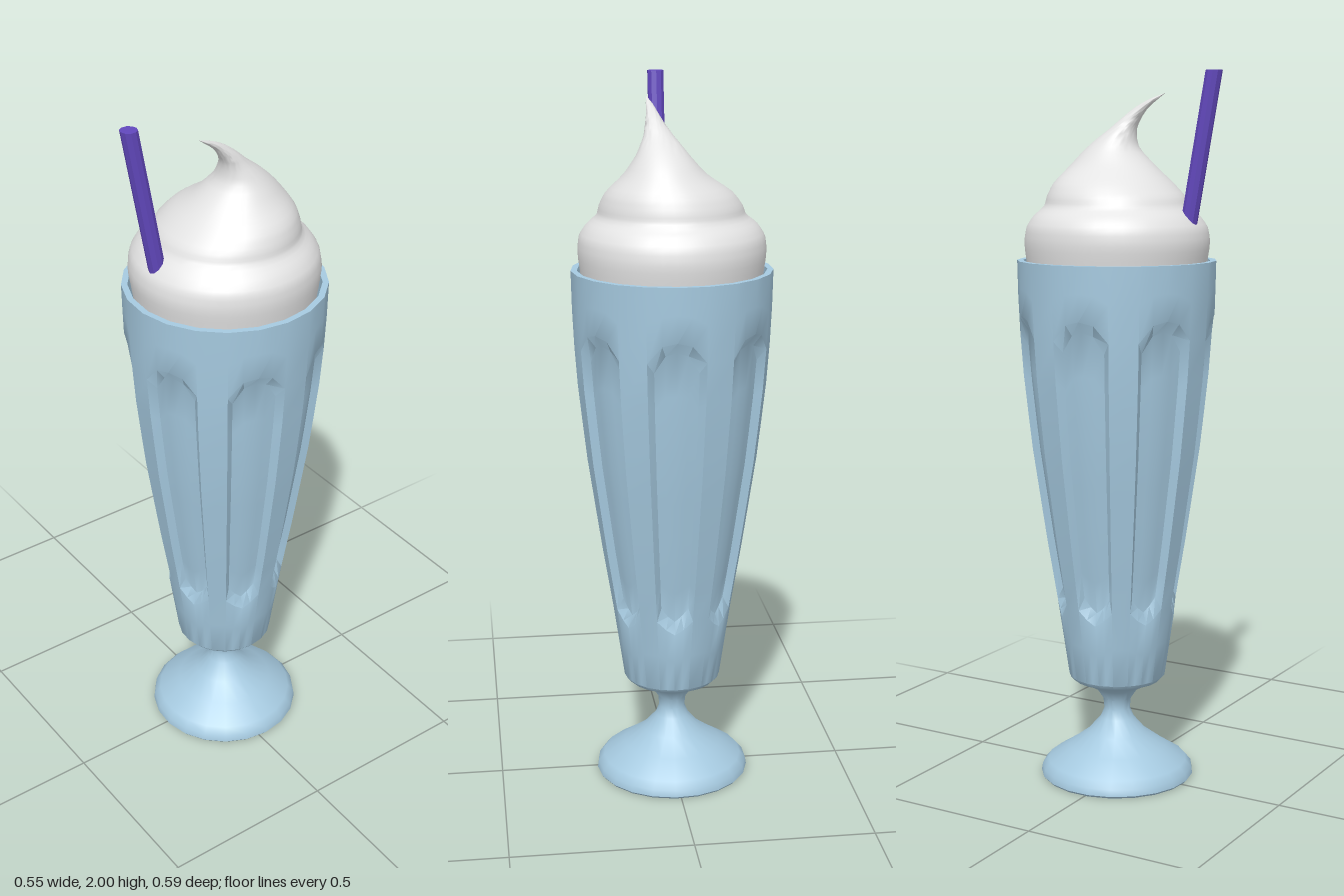
import * as THREE from 'three';
import { mergeGeometries, toCreasedNormals } from 'three/addons/utils/BufferGeometryUtils.js';

const CZ = -0.021;                 // glass axis
const PANELS = 7, SIDES = PANELS * 3;
const STEP = (Math.PI * 2) / SIDES;
const OFFSET = 0.375;              // azimuth of the first panel centre
const { lerp } = THREE.MathUtils;

// Grid of points [row][column], rows going up and columns going right
function gridGeometry(grids) {
  const pos = [];
  for (const g of grids) {
    for (let i = 0; i < g.length - 1; i++) {
      for (let j = 0; j < g[i].length - 1; j++) {
        const a = g[i][j], b = g[i][j + 1], c = g[i + 1][j + 1], d = g[i + 1][j];
        pos.push(...a, ...b, ...c, ...a, ...c, ...d);
      }
    }
  }
  const geo = new THREE.BufferGeometry();
  geo.setAttribute('position', new THREE.Float32BufferAttribute(pos, 3));
  return geo;
}

function lathe(points) {
  const geo = new THREE.LatheGeometry(points.map(p => new THREE.Vector2(...p)), SIDES, OFFSET).toNonIndexed();
  geo.deleteAttribute('uv');
  geo.deleteAttribute('normal');
  return geo;
}

// Outer bowl profile: [height, radius]
const BOWL = [[0.3, 0.138], [0.5, 0.167], [0.7, 0.2], [0.97, 0.24], [1.2, 0.265], [1.35, 0.274], [1.49, 0.277]];
function bowlRadius(y) {
  let i = 0;
  while (i < BOWL.length - 2 && y > BOWL[i + 1][0]) i++;
  const [y0, r0] = BOWL[i], [y1, r1] = BOWL[i + 1];
  return lerp(r0, r1, (y - y0) / (y1 - y0));
}

// Fluted bowl: seven sunken panels with chamfered edges, ribs between them
function bowlGeometry() {
  const grids = [];
  const cols = [-1, -0.5, 0, 0.5, 1];
  const levels = [0, 0.11, 0.22, 0.33, 0.45, 0.57, 0.7, 0.85, 1];
  const top = u => [1.342, 1.332, 1.285][Math.min(2, Math.round(Math.abs(u) * 2))];
  const bottom = u => [0.48, 0.495, 0.52][Math.min(2, Math.round(Math.abs(u) * 2))];
  for (let p = 0; p < PANELS; p++) {
    const point = (u, y, depth = 0) => {
      const k = Math.floor(u), f = u - k, r = bowlRadius(y) - depth;
      const a = OFFSET + (p * 3 + k) * STEP, b = a + STEP;
      return [r * lerp(Math.sin(a), Math.sin(b), f), y, r * lerp(Math.cos(a), Math.cos(b), f)];
    };
    const edge = (u, v) => point(u, lerp(bottom(u), top(u), v));
    const floor = (u, v) => point(u * 0.82, lerp(bottom(u) + 0.035, top(u) - 0.03, v), 0.02);
    const wide = [...cols, 2];
    grids.push([0, 0.5, 1].map(v => wide.map(u => point(u, lerp(0.3, bottom(u), v)))));
    grids.push([0, 0.5, 1].map(v => wide.map(u => point(u, lerp(top(u), 1.49, v)))));
    grids.push(levels.map(v => [1, 2].map(u => edge(u, v))));                // rib
    grids.push(levels.map(v => cols.map(u => floor(u, v))));                 // panel floor
    grids.push(levels.map(v => [edge(-1, v), floor(-1, v)]));                // chamfers
    grids.push(levels.map(v => [floor(1, v), edge(1, v)]));
    grids.push([cols.map(u => edge(u, 0)), cols.map(u => floor(u, 0))]);
    grids.push([cols.map(u => floor(u, 1)), cols.map(u => edge(u, 1))]);
  }
  return gridGeometry(grids);
}

// Whipped cream: rings [y, centreX, centreZ, radiusX, radiusZ] drifting into a curled tip
function creamGeometry() {
  const rings = [
    [1.38, 0, -0.021, 0.235, 0.235], [1.48, 0, -0.021, 0.25, 0.25], [1.54, 0, -0.02, 0.257, 0.257],
    [1.58, 0, -0.02, 0.253, 0.25], [1.61, 0, -0.021, 0.235, 0.23], [1.64, 0.002, -0.022, 0.202, 0.2],
    [1.665, 0.004, -0.026, 0.194, 0.19], [1.7, 0.01, -0.037, 0.172, 0.165], [1.75, 0.022, -0.047, 0.112, 0.118],
    [1.8, 0.028, -0.048, 0.072, 0.07], [1.85, 0.036, -0.02, 0.04, 0.036], [1.88, 0.043, 0.004, 0.026, 0.026],
    [1.905, 0.047, 0.03, 0.016, 0.02], [1.927, 0.051, 0.065, 0.009, 0.013], [1.943, 0.055, 0.098, 0.001, 0.001],
  ];
  const centre = new THREE.CatmullRomCurve3(rings.map(r => new THREE.Vector3(r[1], r[0], r[2])));
  const size = new THREE.CatmullRomCurve3(rings.map(r => new THREE.Vector3(r[3], 0, r[4])));
  const rows = [], n = (rings.length - 1) * 3, sides = SIDES * 2;
  for (let i = 0; i <= n; i++) {
    const c = centre.getPoint(i / n), s = size.getPoint(i / n), row = [];
    for (let j = 0; j <= sides; j++) {
      const a = OFFSET + (j % sides) * STEP / 2;
      row.push([c.x + s.x * Math.sin(a), c.y, c.z + s.z * Math.cos(a)]);
    }
    rows.push(row);
  }
  return toCreasedNormals(gridGeometry([rows]), 1.0);
}

export function createModel() {
  const group = new THREE.Group();
  const material = (name, color, extra = {}) => {
    const m = new THREE.MeshStandardMaterial({ color, ...extra });
    m.name = name;
    return m;
  };
  const glass = material('paleBlueGlass', 0xa6cae0);
  const white = material('creamWhite', 0xe4e4e4);
  const purple = material('strawPurple', 0x6248bd, { flatShading: true });
  const add = (name, geo, mat, z = 0) => {
    const mesh = new THREE.Mesh(geo, mat);
    mesh.name = name;
    mesh.position.z = z;
    group.add(mesh);
  };

  // Foot and stem join the fluted bowl in one smooth surface
  const foot = lathe([
    [0, 0], [0.215, 0], [0.22, 0.006], [0.217, 0.025], [0.2, 0.045], [0.14, 0.084], [0.085, 0.125],
    [0.048, 0.168], [0.037, 0.195], [0.04, 0.225], [0.06, 0.255], [0.1, 0.277], [0.126, 0.287], [0.138, 0.3],
  ]);
  add('glassBody', toCreasedNormals(mergeGeometries([bowlGeometry(), foot]), 0.62), glass, CZ);

  // Rim and inner wall, closed below the cream
  const rim = lathe([[0.277, 1.49], [0.26, 1.49], [0.252, 1.37], [0, 1.36]]);
  add('glassRim', toCreasedNormals(rim, 0.6), glass, CZ);

  add('whippedCream', creamGeometry(), white);

  // Slanted straw with level ends
  const straw = new THREE.CylinderGeometry(0.023, 0.023, 0.55, 10);
  straw.applyMatrix4(new THREE.Matrix4().makeShear(0, 0, 0, 0.18, 0, 0));
  const p = straw.attributes.position;
  for (let i = 0; i < p.count; i++) {
    const y = p.getY(i);
    p.setXYZ(i, p.getX(i), y, Math.sign(p.getZ(i)) * Math.min(Math.abs(p.getZ(i)), 1));
  }
  straw.translate(0.009, 1.725, 0.273 - 0.275 * 0.18);
  add('straw', straw, purple);
  return group;
}
